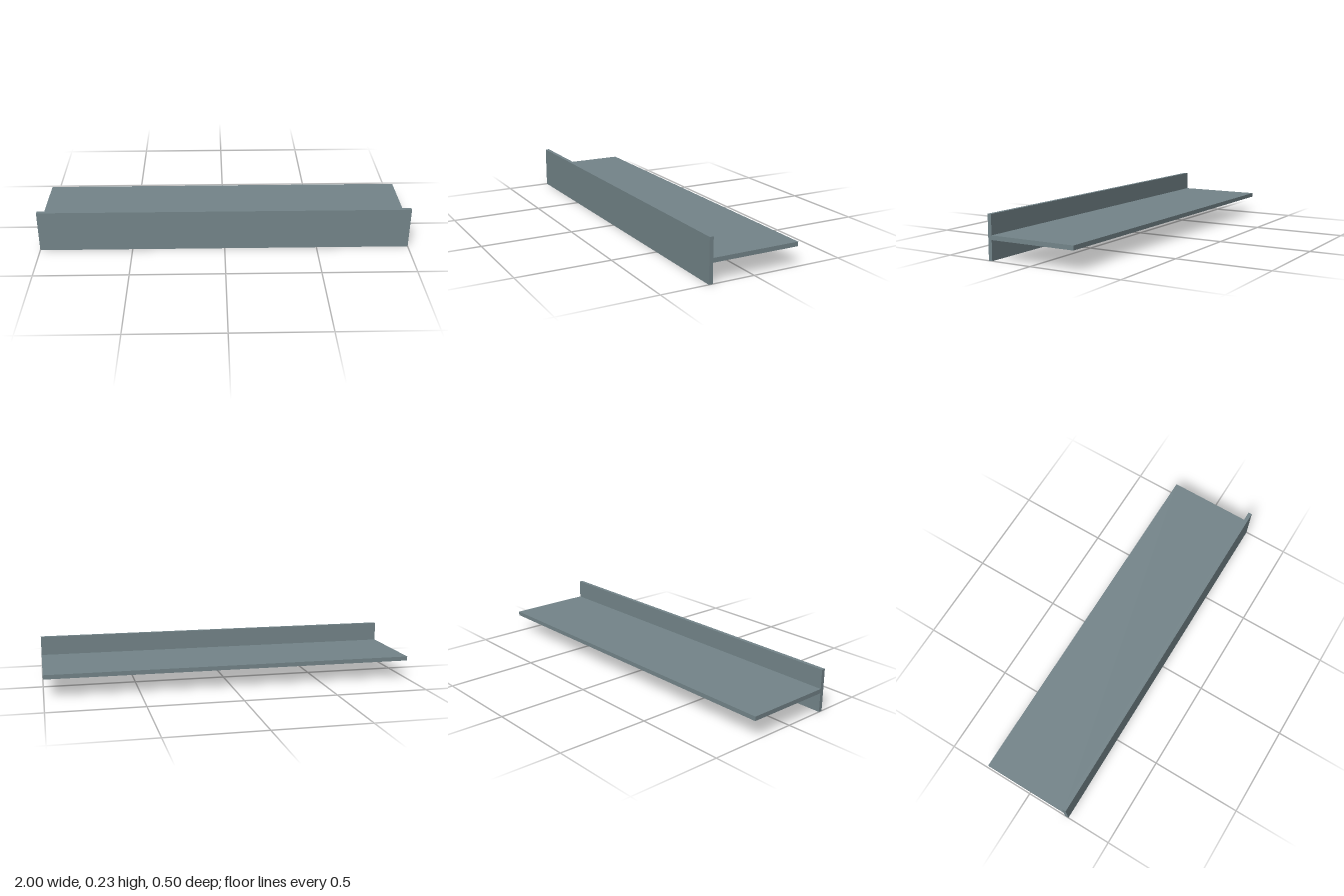
import * as THREE from 'three';

export function createModel() {
  const steel = new THREE.MeshStandardMaterial({ color: 0x74858a });
  steel.name = 'steelGrey';

  const length = 2, height = 0.229;
  const front = 0.249, flangeBack = 0.228, back = -0.249;
  const webBottom = 0.103, webTop = 0.126;

  // T-shaped section, drawn with its horizontal axis along z
  const section = new THREE.Shape([
    [front, 0], [front, height], [flangeBack, height], [flangeBack, webTop],
    [back, webTop], [back, webBottom], [flangeBack, webBottom], [flangeBack, 0],
  ].map(([z, y]) => new THREE.Vector2(z, y)));

  // Run the section along x
  const geometry = new THREE.ExtrudeGeometry(section, { depth: length, bevelEnabled: false });
  geometry.translate(0, 0, -length / 2).rotateY(-Math.PI / 2);

  const beam = new THREE.Mesh(geometry, steel);
  beam.name = 'teeBeam';

  const group = new THREE.Group();
  group.name = 'structuralTee';
  group.add(beam);
  return group;
}
